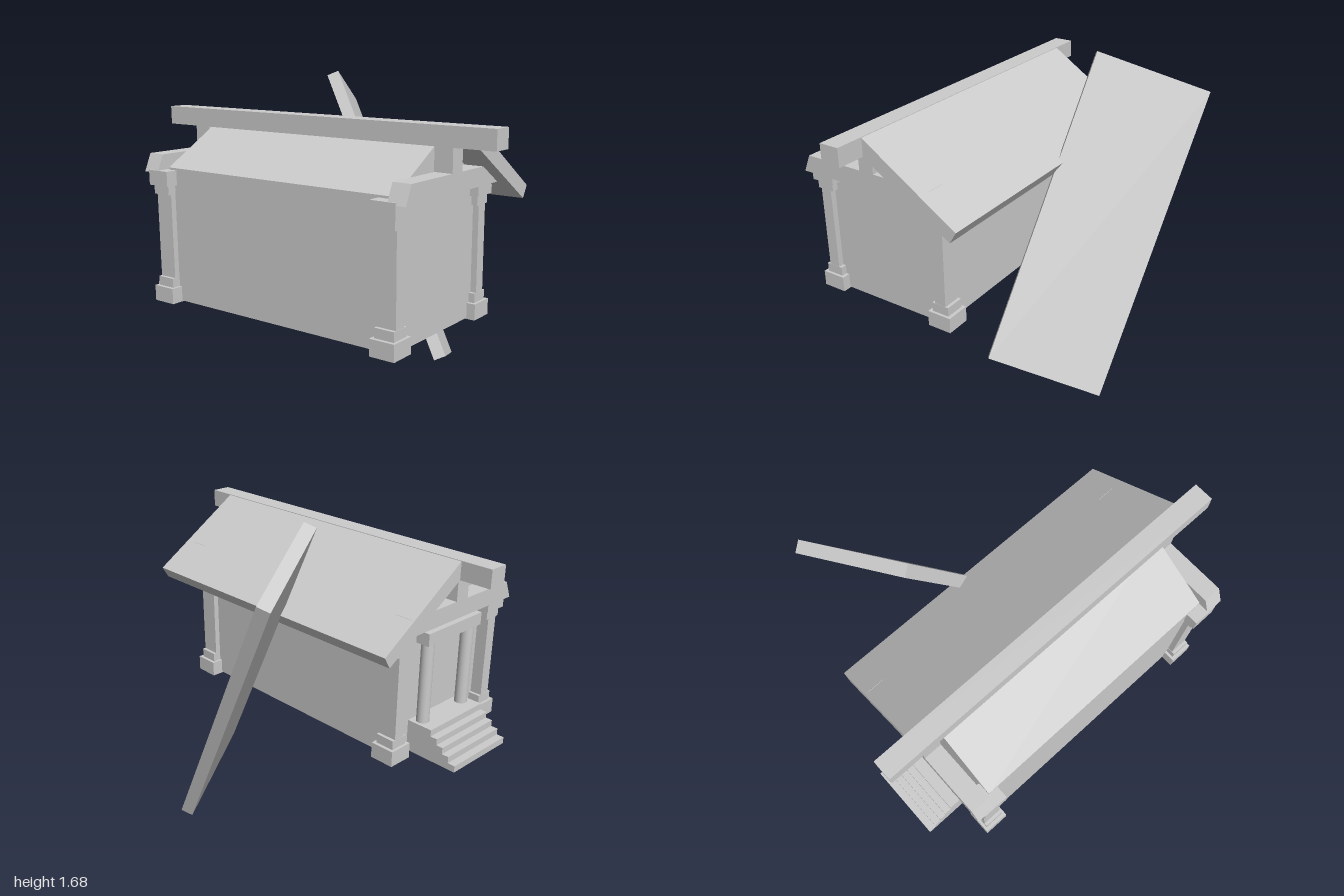
import * as THREE from 'three';

const grey = new THREE.MeshStandardMaterial({ color: 0xcccccc, flatShading: true });
const smooth = new THREE.MeshStandardMaterial({ color: 0xcccccc });
const CX = -0.35; // centre line of the building

function add(parent, name, geometry, material = grey) {
  const mesh = new THREE.Mesh(geometry, material);
  mesh.name = name;
  parent.add(mesh);
  return mesh;
}

// Box given by its limits on each axis
function box(parent, name, x0, x1, y0, y1, z0, z1) {
  const mesh = add(parent, name, new THREE.BoxGeometry(x1 - x0, y1 - y0, z1 - z0));
  mesh.position.set((x0 + x1) / 2, (y0 + y1) / 2, (z0 + z1) / 2);
  return mesh;
}

// Front (x, y) outline extruded from z0 to z1
function prism(parent, name, points, z0, z1) {
  const shape = new THREE.Shape(points.map(([x, y]) => new THREE.Vector2(x, y)));
  const geometry = new THREE.ExtrudeGeometry(shape, { depth: z1 - z0, bevelEnabled: false });
  geometry.translate(0, 0, z0);
  return add(parent, name, geometry);
}

// Stepped corner column: [half width, half depth, bottom, top] of each tier
function cornerColumn(parent, name, x, z) {
  const column = new THREE.Group();
  column.name = name;
  column.position.set(x, 0, z);
  const tiers = [
    ['pedestal', 0.066, 0.066, 0.52, 0.602],
    ['base', 0.048, 0.052, 0.602, 0.65],
    ['shaft', 0.031, 0.051, 0.65, 1.088],
    ['neck', 0.048, 0.052, 1.088, 1.135],
    ['capital', 0.066, 0.066, 1.135, 1.212],
  ];
  for (const [part, w, d, y0, y1] of tiers) box(column, part, -w, w, y0, y1, -d, d);
  parent.add(column);
}

export function createModel() {
  const model = new THREE.Group();
  model.name = 'ruinedHall';

  // Walls with gabled top
  prism(model, 'walls', [
    [-0.7, 0.525], [0, 0.525], [0, 1.215], [CX, 1.43], [-0.7, 1.223],
  ], -0.7, 0.69);

  // Corner columns, end beams and king posts
  for (const [end, columnZ, z0, z1] of [['front', 0.67, 0.69, 0.785], ['back', -0.714, -0.815, -0.72]]) {
    for (const side of [-1, 1]) {
      cornerColumn(model, end + (side > 0 ? 'LeftColumn' : 'RightColumn'), CX + side * 0.348, columnZ);
    }
    prism(model, end + 'Beam', [
      [CX - 0.41, 1.2], [CX + 0.41, 1.2], [CX + 0.37, 1.29], [CX - 0.37, 1.29],
    ], z0, z1);
    box(model, end + 'KingPost', -0.395, -0.31, 1.29, 1.405, z0, z1);
  }

  // Ridge beam and the roof slab still in place
  box(model, 'ridgeBeam', -0.405, -0.3, 1.405, 1.5, -1, 1);
  prism(model, 'roofSlab', [
    [-0.3, 1.405], [0.175, 1.105], [0.21, 1.165], [-0.3, 1.497],
  ], -0.83, 0.85);

  // Fallen roof slab, placed by its centre and its own axes
  const across = new THREE.Vector3(0.52, -0.195, -0.265);
  const along = new THREE.Vector3(0.137, 1.46, -0.815);
  const size = [across.length(), along.length(), 0.065];
  across.normalize();
  along.addScaledVector(across, -along.dot(across)).normalize();
  const normal = new THREE.Vector3().crossVectors(across, along);
  const fallen = add(model, 'fallenRoofSlab', new THREE.BoxGeometry(...size));
  fallen.quaternion.setFromRotationMatrix(new THREE.Matrix4().makeBasis(across, along, normal));
  fallen.position.set(0.4285, 0.8575, -0.0613).addScaledVector(normal, -0.0325);

  // Porch: stairs cut as one stepped side outline, swept across x
  const steps = [[-0.845, 0.67], [-0.884, 0.636], [-0.921, 0.603], [-0.959, 0.569], [-1, 0.535]];
  const outline = new THREE.Shape();
  outline.moveTo(0.6, 0.5).lineTo(0.6, 0.67);
  steps.forEach(([z, y], i) => {
    outline.lineTo(-z, y);
    outline.lineTo(-z, i < steps.length - 1 ? steps[i + 1][1] : 0.5);
  });
  const stairs = new THREE.ExtrudeGeometry(outline, { depth: 0.41, bevelEnabled: false });
  stairs.rotateY(Math.PI / 2).translate(CX - 0.205, 0, 0);
  add(model, 'porchStairs', stairs);

  // Porch columns and lintel
  for (const side of [-1, 1]) {
    const column = add(model, 'porchColumn', new THREE.CylinderGeometry(0.033, 0.033, 0.43, 32), smooth);
    column.position.set(CX + side * 0.155, 0.885, -0.752);
  }
  box(model, 'porchLintel', CX - 0.205, CX + 0.205, 1.1, 1.165, -0.795, -0.71);

  return model;
}
